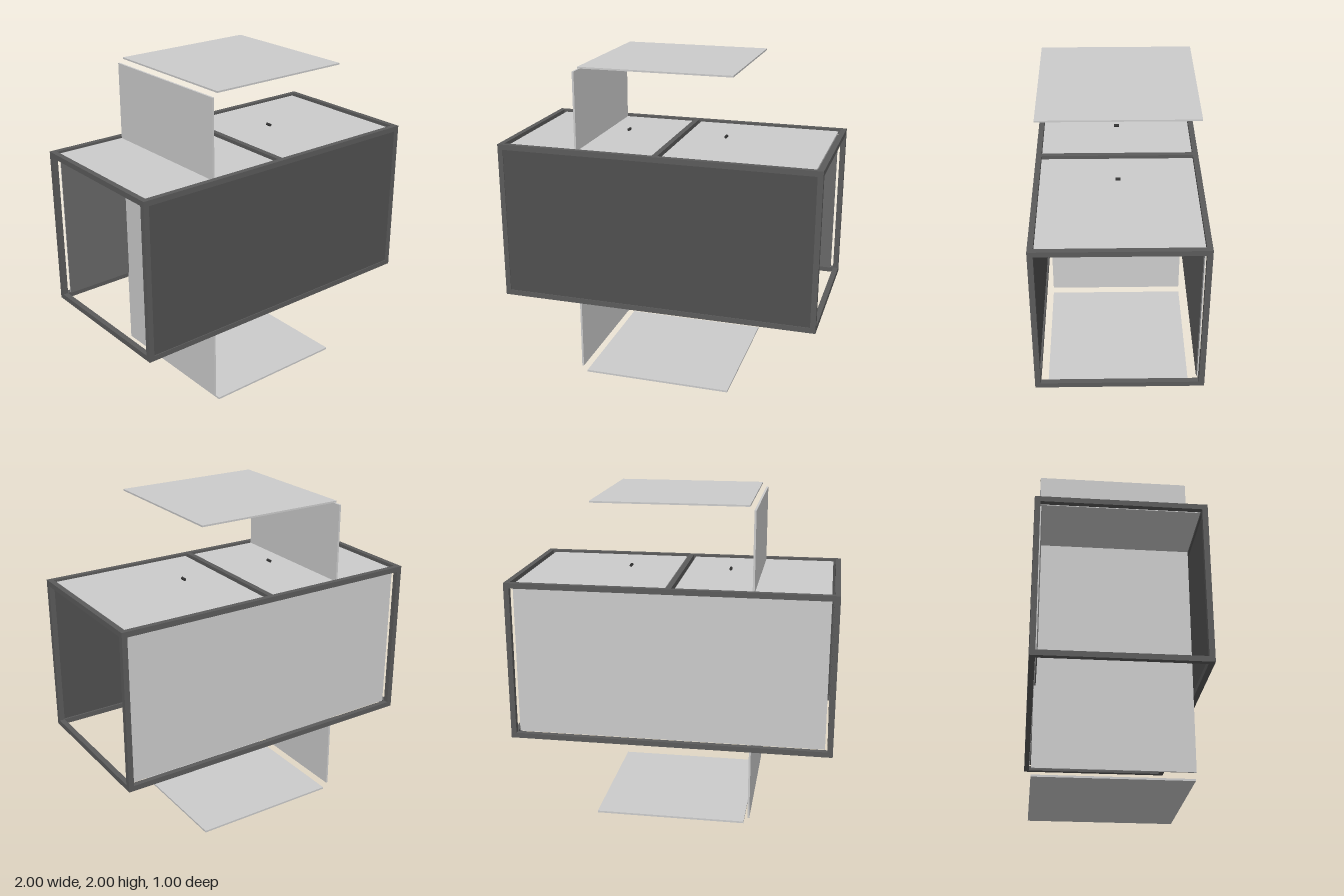
import * as THREE from 'three';

export function createModel() {
  const root = new THREE.Group();
  const mat = (color) => new THREE.MeshStandardMaterial({ color });
  const panelMat = mat(0xcccccc);
  const frameMat = mat(0x5b5b5b);
  const frontMat = mat(0x505050);
  const linerMat = mat(0x696969);
  const knobMat = mat(0x333333);

  // Box given by its minimum and maximum on each axis
  function box(name, [x0, x1], [y0, y1], [z0, z1], material, parent = root) {
    const mesh = new THREE.Mesh(new THREE.BoxGeometry(x1 - x0, y1 - y0, z1 - z0), material);
    mesh.position.set((x0 + x1) / 2, (y0 + y1) / 2, (z0 + z1) / 2);
    mesh.name = name;
    parent.add(mesh);
    return mesh;
  }

  // Cabinet frame: twelve square bars and a divider across the top
  const t = 0.033;
  const frame = new THREE.Group();
  frame.name = 'frame';
  root.add(frame);
  const low = [0.5, 0.5 + t], high = [1.5 - t, 1.5];
  const side = (s, r) => (s < 0 ? [-r, -r + t] : [r - t, r]);
  for (const s of [-1, 1]) {
    for (const y of [low, high]) {
      box('longRail', [-1, 1], y, side(s, 0.5), frameMat, frame);
      box('endRail', side(s, 1), y, [-0.5 + t, 0.5 - t], frameMat, frame);
    }
    for (const e of [-1, 1]) {
      box('cornerPost', side(e, 1), [0.5 + t, 1.5 - t], side(s, 0.5), frameMat, frame);
    }
  }
  box('topDivider', [-t / 2, t / 2], high, [-0.5 + t, 0.5 - t], frameMat, frame);

  // Front and back panels; the back has a darker inner lining
  box('frontPanel', [-1 + t, 1 - t], [0.5 + t, 1.5 - t], [0.478, 0.495], frontMat);
  box('backPanel', [-0.952, 0.952], [0.535, 1.465], [-0.466, -0.46], panelMat);
  box('backLining', [-0.952, 0.952], [0.535, 1.465], [-0.46, -0.454], linerMat);

  // Top doors with small knobs
  for (const s of [-1, 1]) {
    const xs = s < 0 ? [-0.95, -0.03] : [0.03, 0.95];
    box('topDoor', xs, [1.474, 1.486], [-0.465, 0.465], panelMat);
    const knob = new THREE.Mesh(new THREE.CylinderGeometry(0.009, 0.009, 0.032, 16), knobMat);
    knob.rotation.x = Math.PI / 2;
    knob.position.set(s * 0.318, 1.522, 0);
    knob.name = 'knob';
    root.add(knob);
  }

  // Separate boards: upright partition and two level shelves
  box('partition', [-0.506, -0.494], [0.04, 1.97], [-0.465, 0.465], panelMat);
  box('upperShelf', [-0.47, 0.465], [1.99, 2], [-0.465, 0.465], panelMat);
  box('lowerShelf', [-0.47, 0.465], [0, 0.012], [-0.465, 0.465], panelMat);

  return root;
}
